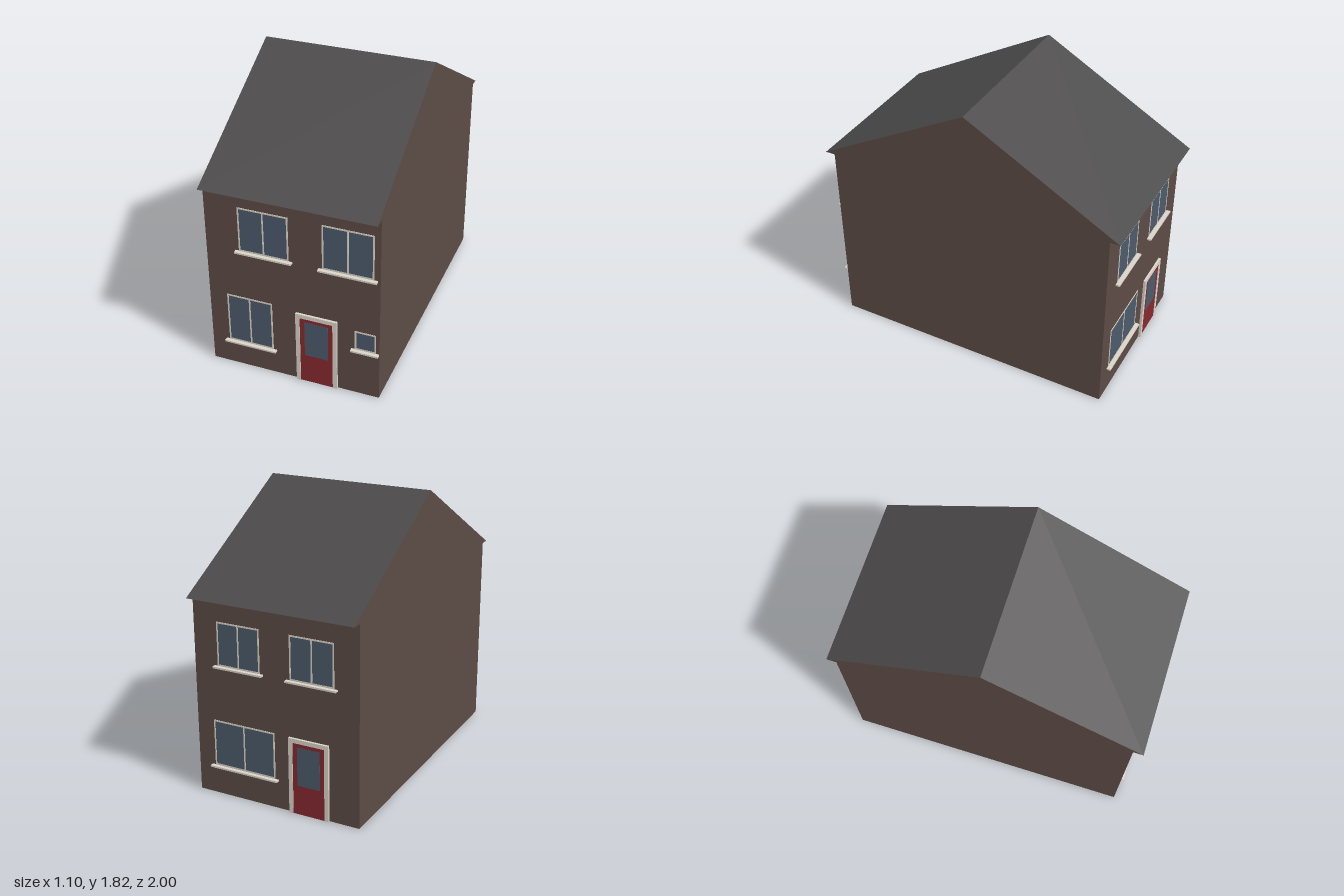
import * as THREE from 'three';

const mat = (color, side = THREE.FrontSide) => new THREE.MeshStandardMaterial({ color, side });
const HALF = 0.55, WALL_Z = 0.935, EAVE = 1.262, RIDGE = 1.815;

export function createModel() {
  const house = new THREE.Group();
  house.name = 'house';
  const brick = mat(0x5c4b45, THREE.DoubleSide), slate = mat(0x4c4a4a, THREE.DoubleSide);
  const trim = mat(0xdad3c8), glass = mat(0x4c5a6a), red = mat(0x86292f);

  function add(parent, name, geometry, material) {
    const mesh = new THREE.Mesh(geometry, material);
    mesh.name = name;
    parent.add(mesh);
    return mesh;
  }

  // Box given by its x, y and z ranges; z is measured out from the wall face
  function slab(parent, name, x0, x1, y0, y1, z1, material) {
    const z0 = 0.0005;
    add(parent, name, new THREE.BoxGeometry(x1 - x0, y1 - y0, z1 - z0), material)
      .position.set((x0 + x1) / 2, (y0 + y1) / 2, (z0 + z1) / 2);
  }

  // Sheet across the width of the house between two (y, z) lines
  function sheet(parent, name, [y0, z0], [y1, z1], material) {
    const geo = new THREE.PlaneGeometry(2 * HALF, Math.hypot(y1 - y0, z1 - z0));
    geo.rotateX(Math.atan2(z1 - z0, y1 - y0));
    geo.translate(0, (y0 + y1) / 2, (z0 + z1) / 2);
    add(parent, name, geo, material);
  }

  function addWindow(facade, name, x0, x1, y0, y1, panes) {
    const g = new THREE.Group();
    g.name = name;
    const b = 0.01, depth = 0.003;
    slab(g, 'glass', x0 + b, x1 - b, y0 + b, y1 - b, 0.002, glass);
    slab(g, 'frameBottom', x0, x1, y0, y0 + b, depth, trim);
    slab(g, 'frameTop', x0, x1, y1 - b, y1, depth, trim);
    slab(g, 'frameSide', x0, x0 + b, y0 + b, y1 - b, depth, trim);
    slab(g, 'frameSide', x1 - b, x1, y0 + b, y1 - b, depth, trim);
    for (let i = 1; i < panes; i++) {
      const x = x0 + (x1 - x0) * i / panes;
      slab(g, 'mullion', x - b / 2, x + b / 2, y0 + b, y1 - b, depth, trim);
    }
    slab(g, 'sill', x0 - 0.022, Math.min(x1 + 0.022, HALF - 0.002), y0 - 0.011, y0, 0.027, trim);
    facade.add(g);
  }

  function addDoor(facade, x0, x1, top) {
    const g = new THREE.Group();
    g.name = 'door';
    const b = 0.027, depth = 0.016;
    slab(g, 'leftJamb', x1 - b, x1, 0, top, depth, trim);
    slab(g, 'rightJamb', x0, x0 + b, 0, top, depth, trim);
    slab(g, 'lintel', x0 + b, x1 - b, top - b, top, depth, trim);
    slab(g, 'doorLeaf', x0 + b, x1 - b, 0, top - b, 0.012, red);
    slab(g, 'doorGlass', x0 + 0.057, x1 - 0.057, top - 0.3, top - 0.052, 0.013, glass);
    facade.add(g);
  }

  // Gable walls reach out to the eaves; the house is open underneath
  const gable = new THREE.Shape([
    [-WALL_Z, 0], [WALL_Z, 0], [WALL_Z, EAVE], [1, EAVE], [0, RIDGE], [-1, EAVE], [-WALL_Z, EAVE],
  ].map(([z, y]) => new THREE.Vector2(z, y)));
  for (const [name, side] of [['leftGableWall', 1], ['rightGableWall', -1]]) {
    const wall = add(house, name, new THREE.ShapeGeometry(gable), brick);
    wall.rotation.y = side * Math.PI / 2;
    wall.position.x = side * HALF;
  }

  // Front and rear each have a wall, a soffit and a roof slope; the rear is turned round
  const [front, rear] = ['frontFacade', 'rearFacade'].map((name, i) => {
    const facade = new THREE.Group();
    facade.name = name;
    facade.rotation.y = i * Math.PI;
    facade.position.z = i ? -WALL_Z : WALL_Z;
    sheet(facade, 'wall', [0, 0], [EAVE, 0], brick);
    sheet(facade, 'soffit', [EAVE, 0], [EAVE, 1 - WALL_Z], slate);
    sheet(facade, 'roofSlope', [EAVE, 1 - WALL_Z], [RIDGE, -WALL_Z], slate);
    house.add(facade);
    return facade;
  });

  addWindow(front, 'upperRightWindow', -0.335, -0.016, 0.856, 1.155, 2);
  addWindow(front, 'upperLeftWindow', 0.193, 0.512, 0.856, 1.155, 2);
  addWindow(front, 'lowerWindow', -0.434, -0.136, 0.176, 0.518, 2);
  addWindow(front, 'smallWindow', 0.395, 0.528, 0.331, 0.464, 1);
  addDoor(front, 0.02, 0.285, 0.5);

  addWindow(rear, 'rearUpperLeftWindow', -0.39, -0.1, 0.848, 1.125, 2);
  addWindow(rear, 'rearUpperRightWindow', 0.1, 0.39, 0.848, 1.125, 2);
  addWindow(rear, 'rearLowerWindow', -0.435, -0.01, 0.19, 0.49, 2);
  addDoor(rear, 0.09, 0.355, 0.49);

  return house;
}
